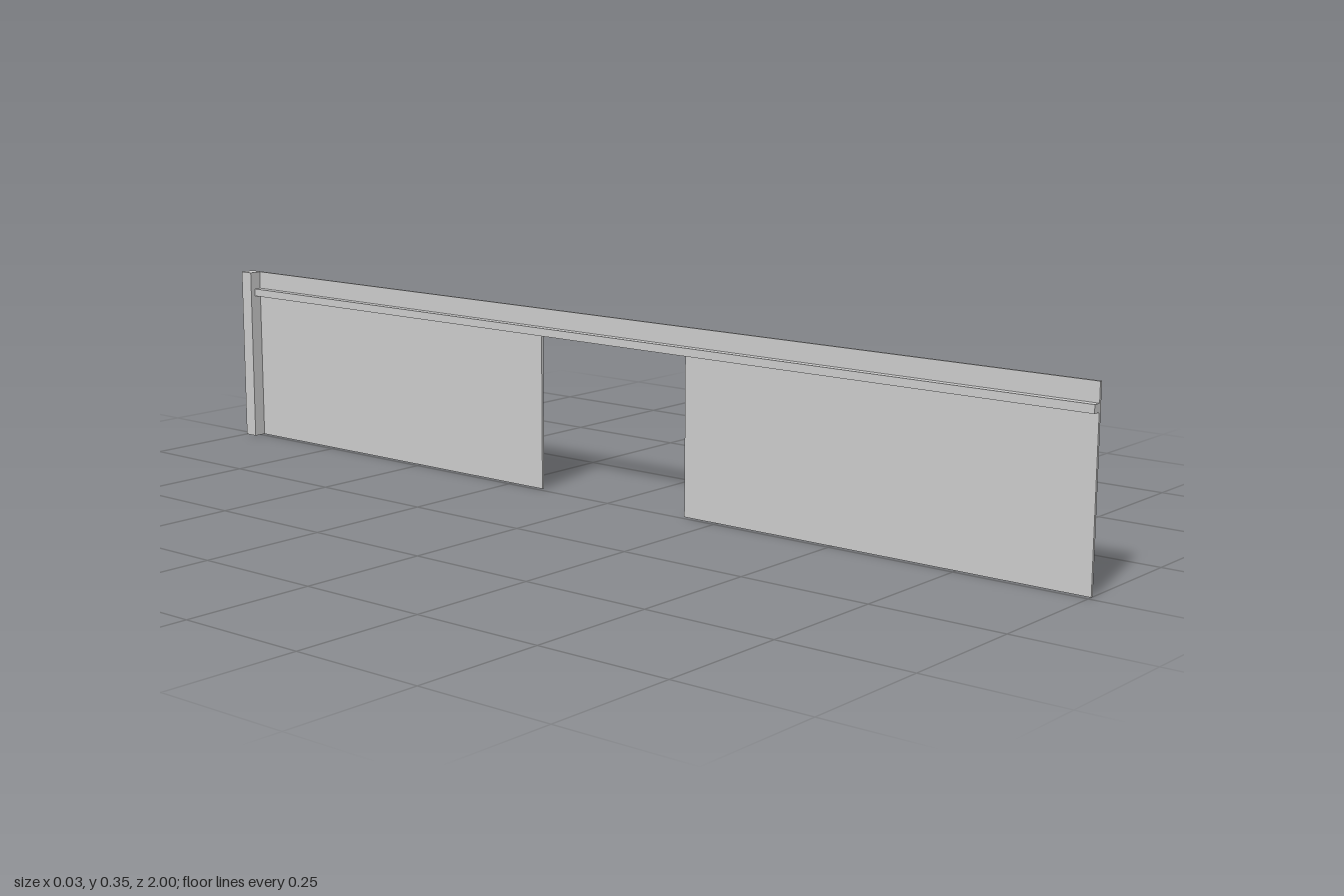
import * as THREE from 'three';

export function createModel() {
  const group = new THREE.Group();
  const material = new THREE.MeshStandardMaterial({ color: 0xcccccc, flatShading: true });
  const add = (name, geometry) => {
    const mesh = new THREE.Mesh(geometry, material);
    mesh.name = name;
    group.add(mesh);
  };
  // Box given by its lower and upper corners
  const box = (x0, y0, z0, x1, y1, z1) =>
    new THREE.BoxGeometry(x1 - x0, y1 - y0, z1 - z0)
      .translate((x0 + x1) / 2, (y0 + y1) / 2, (z0 + z1) / 2);

  const height = 0.35, inner = 0.01, outer = 0.015;
  const doorTop = 0.3, doorFront = 0.175, doorBack = -0.172;

  // Thin wall panel with a doorway, drawn as (-z, y) and turned to face +x
  const outline = new THREE.Shape([
    [-1, 0], [-doorFront, 0], [-doorFront, doorTop], [-doorBack, doorTop],
    [-doorBack, 0], [1, 0], [1, height], [-1, height],
  ].map(([u, v]) => new THREE.Vector2(u, v)));
  const panel = new THREE.ExtrudeGeometry(outline, { depth: outer - inner, bevelEnabled: false });
  add('wallPanel', panel.rotateY(Math.PI / 2).translate(inner, 0, 0));

  // Rail along the inner face, just above the doorway
  add('rail', box(-0.005, doorTop, -0.972, inner, 0.315, 1));

  // Full-height post at the back end
  add('endPost', box(-0.015, 0, -1, inner, height, -0.972));

  return group;
}
